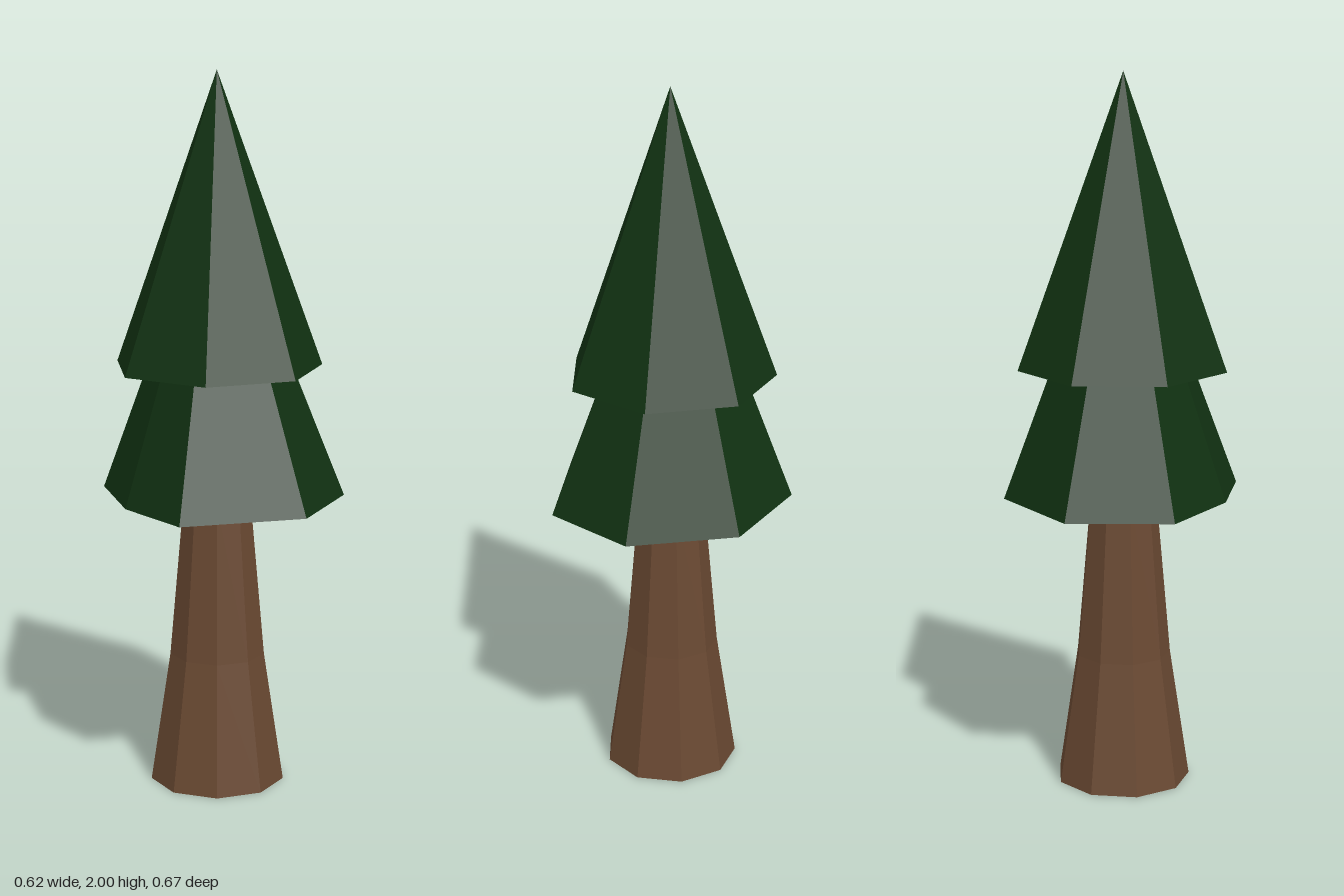
import * as THREE from 'three';

const CX = -0.024, CZ = 0.007; // axis of the tree

function material(name, color) {
  const m = new THREE.MeshStandardMaterial({ color, flatShading: true, side: THREE.DoubleSide });
  m.name = name;
  return m;
}

function part(name, geometry, mat) {
  const flat = geometry.index ? geometry.toNonIndexed() : geometry;
  flat.computeVertexNormals();
  const mesh = new THREE.Mesh(flat, mat);
  mesh.name = name;
  return mesh;
}

// Open cone: a rim of [x, z] points joined to an apex
function openCone(rim, baseY, apex) {
  const pos = [];
  rim.forEach(([x, z], i) => {
    const [nx, nz] = rim[(i + 1) % rim.length];
    pos.push(x, baseY, z, ...apex, nx, baseY, nz);
  });
  const g = new THREE.BufferGeometry();
  g.setAttribute('position', new THREE.Float32BufferAttribute(pos, 3));
  return g;
}

export function createModel() {
  const tree = new THREE.Group();
  tree.name = 'pineTree';
  const bark = material('bark brown', 0x6a4932);
  const needles = material('needle green', 0x113212);

  // Nine-sided trunk, flared at the foot and open at the bottom
  const profile = [[0.19, 0], [0.134, 0.37], [0.094, 0.825], [0.07, 1.1]]
    .map(([r, y]) => new THREE.Vector2(r, y));
  const trunk = part('trunk', new THREE.LatheGeometry(profile, 9, Math.PI), bark);
  trunk.position.set(CX, 0, CZ);
  tree.add(trunk);

  // Lower foliage with an uneven seven-cornered rim
  const lowerRim = [[-0.028, -0.335], [0.25, -0.182], [0.31, 0.125], [0.113, 0.333],
    [-0.236, 0.3], [-0.312, 0.07], [-0.29, -0.2]];
  tree.add(part('lowerFoliage', openCone(lowerRim, 0.825, [CX, 1.72, 0]), needles));

  // Upper foliage: a regular seven-sided cone
  const upperRim = Array.from({ length: 7 }, (_, i) => {
    const a = (i / 7) * Math.PI * 2;
    return [CX + 0.294 * Math.sin(a), CZ - 0.294 * Math.cos(a)];
  });
  tree.add(part('upperFoliage', openCone(upperRim, 1.19, [CX, 2, CZ]), needles));

  // Wind the rim faces outward
  tree.children.slice(1).forEach((mesh) => {
    const p = mesh.geometry.attributes.position, n = mesh.geometry.attributes.normal;
    if (n.getX(0) * (p.getX(0) + p.getX(2) - 2 * CX) + n.getZ(0) * (p.getZ(0) + p.getZ(2) - 2 * CZ) < 0) {
      for (let i = 0; i < p.count; i += 3) {
        const a = [p.getX(i), p.getY(i), p.getZ(i)];
        p.setXYZ(i, p.getX(i + 2), p.getY(i + 2), p.getZ(i + 2));
        p.setXYZ(i + 2, ...a);
      }
      mesh.geometry.computeVertexNormals();
    }
  });
  return tree;
}
